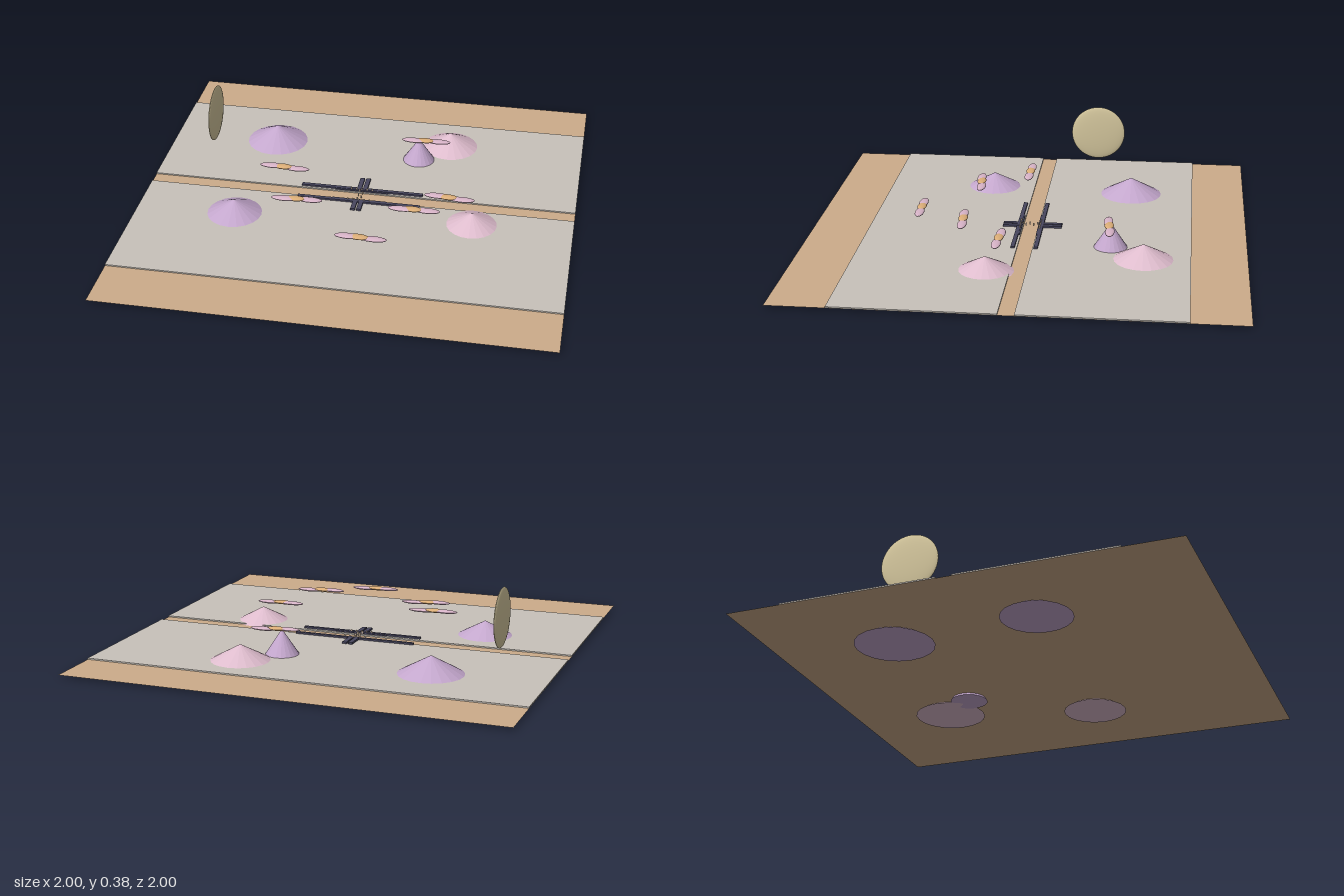
import * as THREE from 'three';

const mat = (name, color, extra = {}) => {
  const m = new THREE.MeshStandardMaterial({ color, ...extra });
  m.name = name;
  return m;
};

export function createModel() {
  const root = new THREE.Group();
  root.name = 'landscape';
  const sand = mat('sand', 0xcdac8a, { side: THREE.DoubleSide });
  const water = mat('paleWater', 0xc8c2ba);
  const lilac = mat('lilac', 0xc4a7cd, { flatShading: true });
  const pink = mat('pink', 0xdebccd, { flatShading: true });
  const cloudPink = mat('cloudPink', 0xd8b4c8);
  const cloudGold = mat('cloudGold', 0xdcae78);
  const sunMat = mat('paleGold', 0xd8caa0);
  const dark = mat('slate', 0x48465e);
  const light = mat('lantern', 0xe6cdb4);

  const add = (name, geo, material, x, y, z, parent = root) => {
    const m = new THREE.Mesh(geo, material);
    m.name = name;
    m.position.set(x, y, z);
    parent.add(m);
    return m;
  };
  const box = (name, material, w, h, d, x, y, z, parent) =>
    add(name, new THREE.BoxGeometry(w, h, d), material, x, y, z, parent);

  // Sand sheet, with two thin water slabs leaving shores and a middle causeway
  add('ground', new THREE.PlaneGeometry(2, 2).rotateX(-Math.PI / 2), sand, 0, 0.012, 0);
  box('backWater', water, 2, 0.006, 0.71, 0, 0.0155, -0.395);
  box('frontWater', water, 2, 0.006, 0.71, 0, 0.0155, 0.385);

  // Hills: x, z, radius, height, material
  for (const [x, z, r, h, m] of [
    [-0.495, -0.45, 0.18, 0.1, lilac],
    [-0.545, 0.23, 0.16, 0.087, lilac],
    [0.355, -0.54, 0.167, 0.09, pink],
    [0.54, 0.14, 0.15, 0.08, pink],
    [0.22, -0.388, 0.088, 0.133, lilac],
  ]) add('hill', new THREE.ConeGeometry(r, h, 20), m, x, h / 2, z);

  // Sun: a flattened ball facing sideways
  const sun = add('sun', new THREE.SphereGeometry(0.133, 32, 24), sunMat, -0.755, 0.245, -0.27);
  sun.scale.x = 0.1;

  // Clouds: centre x, y, z and sideways lean of the end puffs
  const puff = new THREE.SphereGeometry(1, 18, 12);
  for (const [x, y, z, lean] of [
    [-0.35, 0.164, 0.032, 0.002],
    [-0.245, 0.141, 0.257, -0.006],
    [0.255, 0.128, -0.382, -0.006],
    [0.43, 0.121, 0.093, 0.004],
    [0.292, 0.153, 0.27, -0.004],
    [0.09, 0.126, 0.491, 0],
  ]) {
    const cloud = new THREE.Group();
    cloud.name = 'cloud';
    cloud.position.set(x, y, z);
    root.add(cloud);
    for (const s of [-1, 1]) {
      const p = add('cloudEnd', puff, cloudPink, s * 0.057, -s * 0.002, s * lean, cloud);
      p.scale.set(0.06, 0.008, 0.021);
    }
    add('cloudMiddle', puff, cloudGold, -0.008, 0.002, 0, cloud).scale.set(0.045, 0.009, 0.021);
  }

  // Jetty: long rails on both sides, paired cross beams and small lights
  const jetty = new THREE.Group();
  jetty.name = 'jetty';
  root.add(jetty);
  for (const [side, z, beamZ, beamLen] of [[-1, -0.056, -0.1, 0.1], [1, 0.048, 0.08, 0.085]]) {
    box('rail', dark, 0.575, 0.008, 0.018, 0, 0.025, z, jetty);
    box('innerRail', dark, 0.25, 0.006, 0.008, 0, 0.024, z - side * 0.011, jetty);
    for (const x of [-0.014, 0.014])
      box('crossBeam', dark, 0.021, 0.009, beamLen, x, 0.0255, beamZ, jetty);
    for (let i = -2; i <= 2; i++)
      box('lantern', light, 0.006, 0.007, 0.006, i * 0.025, 0.032, z - side * 0.006, jetty);
  }
  for (let i = 0; i < 5; i++)
    box('middleLantern', light, 0.006, 0.012, 0.006, (i % 2 ? 1 : -1) * 0.008, 0.03, -0.036 + i * 0.017, jetty);

  return root;
}
